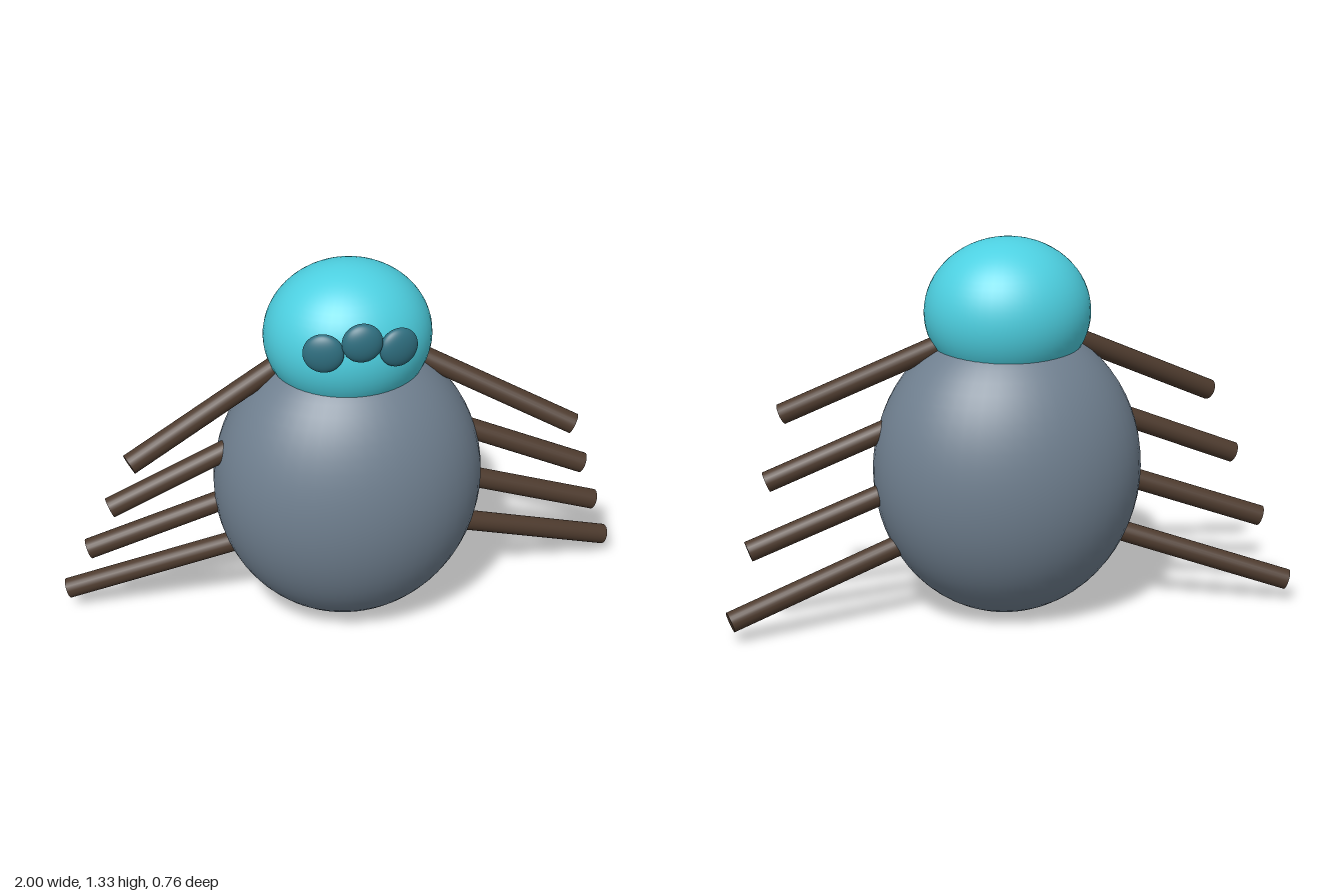
import * as THREE from 'three';

const paint = (color) => new THREE.MeshStandardMaterial({ color });

// Sphere stretched to the given half-sizes
function ellipsoid(name, radii, position, material) {
  const mesh = new THREE.Mesh(new THREE.SphereGeometry(1, 48, 32), material);
  mesh.name = name;
  mesh.scale.set(...radii);
  mesh.position.set(...position);
  return mesh;
}

// Straight round rod between two points
function rod(name, from, to, radius, material) {
  const a = new THREE.Vector3(...from);
  const b = new THREE.Vector3(...to);
  const mesh = new THREE.Mesh(new THREE.CylinderGeometry(radius, radius, a.distanceTo(b), 24), material);
  mesh.name = name;
  mesh.position.copy(a).add(b).multiplyScalar(0.5);
  mesh.quaternion.setFromUnitVectors(new THREE.Vector3(0, 1, 0), b.sub(a).normalize());
  return mesh;
}

export function createModel() {
  const group = new THREE.Group();
  group.name = 'spider';
  const bodyMat = paint(0x708090);
  const headMat = paint(0x4dd0e1);
  const eyeMat = paint(0x2f6f80);
  const legMat = paint(0x4e3b2e);

  // Body and head
  group.add(ellipsoid('body', [0.468, 0.521, 0.378], [0, 0.524, 0], bodyMat));
  group.add(ellipsoid('head', [0.286, 0.255, 0.257], [0, 1.075, 0], headMat));

  // Three flattened eyes, the outer two turned along the head
  group.add(ellipsoid('middleEye', [0.068, 0.068, 0.034], [0, 1.165, 0.26], eyeMat));
  for (const side of [1, -1]) {
    const eye = ellipsoid(side > 0 ? 'leftEye' : 'rightEye',
      [0.068, 0.068, 0.03], [side * 0.125, 1.128, 0.238], eyeMat);
    eye.rotation.y = side * 0.25;
    group.add(eye);
  }

  // Four pairs of legs, from the neck down: inner end, outer end
  const legs = [
    [[0.20, 0.99, -0.02], [0.765, 0.72, 0.135]],
    [[0.34, 0.71, 0.012], [0.833, 0.507, 0.047]],
    [[0.36, 0.487, -0.01], [0.91, 0.293, -0.045]],
    [[0.34, 0.292, -0.026], [0.987, 0.078, -0.137]],
  ];
  legs.forEach(([from, to], i) => {
    for (const side of [1, -1]) {
      const flip = ([x, y, z]) => [side * x, y, z];
      group.add(rod(`${side > 0 ? 'left' : 'right'}Leg${i + 1}`, flip(from), flip(to), 0.036, legMat));
    }
  });

  return group;
}
